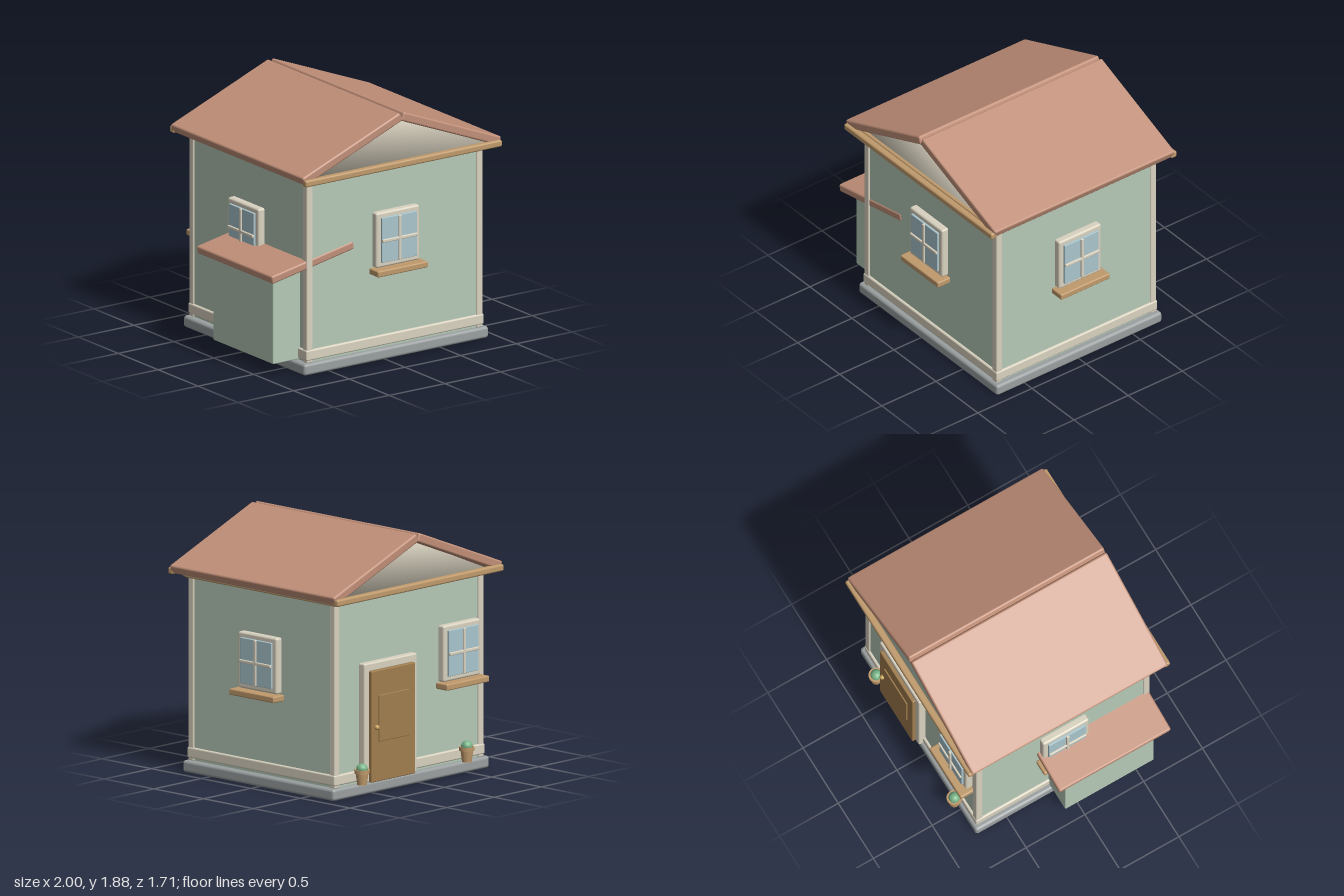
import * as THREE from 'three';
import { RoundedBoxGeometry } from 'three/addons/geometries/RoundedBoxGeometry.js';
import { mergeVertices } from 'three/addons/utils/BufferGeometryUtils.js';

const mat = (color, side = THREE.FrontSide) =>
  new THREE.MeshStandardMaterial({ color, side });

const sage = mat(0xb5c9b7), cream = mat(0xd9d2c0), tile = mat(0xc08f78);
const wood = mat(0xc09a6c), stone = mat(0x9a9f9f), glass = mat(0xa9c5cd);
const doorWood = mat(0xa07d4e), brass = mat(0xc9a35a), leaf = mat(0x78b487);
const gableMat = mat(0xd9d2c0, THREE.DoubleSide);
const CX = 0.0975; // middle of the house across x

// Rounded box given by its lower and upper limits on each axis
function block(parent, name, material, [x0, x1], [y0, y1], [z0, z1], r = 0.012) {
  const w = x1 - x0, h = y1 - y0, d = z1 - z0;
  const radius = Math.min(r, w / 2.01, h / 2.01, d / 2.01);
  const mesh = new THREE.Mesh(new RoundedBoxGeometry(w, h, d, 3, radius), material);
  mesh.position.set((x0 + x1) / 2, (y0 + y1) / 2, (z0 + z1) / 2);
  mesh.name = name;
  parent.add(mesh);
  return mesh;
}

const around = (half, c = 0) => [c - half, c + half];

// Window facing +z, wall surface at z = 0
function makeWindow(name) {
  const g = new THREE.Group();
  g.name = name;
  block(g, 'windowFrame', cream, around(0.195), [0.715, 1.135], [-0.01, 0.055], 0.016);
  block(g, 'windowGlass', glass, around(0.157), [0.755, 1.097], [0.04, 0.072], 0.004);
  block(g, 'verticalBar', cream, around(0.012), [0.755, 1.097], [0.06, 0.085], 0.006);
  block(g, 'crossBar', cream, around(0.157), [0.911, 0.935], [0.06, 0.085], 0.006);
  block(g, 'windowSill', wood, around(0.225), [0.665, 0.712], [0, 0.118], 0.01);
  return g;
}

// Door facing +z, wall surface at z = 0
function makeDoor() {
  const g = new THREE.Group();
  g.name = 'door';
  for (const s of [-1, 1])
    block(g, 'doorJamb', cream, around(0.03, s * 0.25), [0.09, 0.978], [-0.01, 0.055]);
  block(g, 'doorLintel', cream, around(0.28), [0.915, 0.98], [-0.01, 0.055]);
  block(g, 'doorLeaf', doorWood, around(0.232), [0.092, 0.922], [0.01, 0.082], 0.008);
  block(g, 'doorPanel', doorWood, around(0.16), [0.39, 0.737], [0.07, 0.092], 0.005);
  const knob = new THREE.Mesh(new THREE.SphereGeometry(0.019, 16, 12), brass);
  knob.name = 'doorKnob';
  knob.position.set(-0.185, 0.5, 0.09);
  g.add(knob);
  return g;
}

// Flower pot with a small cactus, standing on y = 0
function makePot() {
  const g = new THREE.Group();
  g.name = 'pottedCactus';
  const profile = [[0, 0], [0.036, 0], [0.047, 0.085], [0.056, 0.085], [0.057, 0.112],
    [0.046, 0.112], [0.044, 0.1], [0, 0.1]].map(([x, y]) => new THREE.Vector2(x, y));
  const potGeo = new THREE.LatheGeometry(profile, 24).toNonIndexed();
  potGeo.computeVertexNormals();
  const pot = new THREE.Mesh(potGeo, wood);
  pot.name = 'pot';
  const cactus = new THREE.Mesh(new THREE.SphereGeometry(0.042, 20, 14), leaf);
  cactus.name = 'cactus';
  cactus.scale.y = 0.95;
  cactus.position.y = 0.118;
  g.add(pot, cactus);
  return g;
}

function place(parent, object, x, y, z, turn = 0) {
  object.position.set(x, y, z);
  object.rotation.y = turn;
  parent.add(object);
}

export function createModel() {
  const house = new THREE.Group();
  house.name = 'house';

  // Base, walls and skirting
  block(house, 'plinth', stone, around(0.828, CX), [0, 0.088], around(0.763), 0.022);
  block(house, 'walls', sage, around(0.78, CX), [0.08, 1.475], around(0.725), 0.004);
  block(house, 'skirting', cream, around(0.797, CX), [0.105, 0.185], around(0.744), 0.012);
  for (const sx of [-1, 1]) for (const sz of [-1, 1])
    block(house, 'cornerPost', cream, around(0.0275, CX + sx * 0.763), [0.085, 1.46],
      around(0.0275, sz * 0.7115), 0.01);

  // Moulding at the top of the walls and boards below the gables
  block(house, 'wallMoulding', wood, around(0.812, CX), [1.45, 1.478], around(0.763), 0.012);
  for (const s of [-1, 1])
    block(house, 'gableBoard', wood, around(0.882, CX), [1.473, 1.524], around(0.026, s * 0.831), 0.014);

  // Gable prism with softly blended normals
  const triangle = new THREE.Shape([[-0.85, 1.475], [0.85, 1.475], [0, 1.83]]
    .map(([x, y]) => new THREE.Vector2(x, y)));
  let prism = new THREE.ExtrudeGeometry(triangle, { depth: 1.48, bevelEnabled: false });
  prism.deleteAttribute('normal');
  prism.deleteAttribute('uv');
  prism = mergeVertices(prism);
  prism.computeVertexNormals();
  const gable = new THREE.Mesh(prism, gableMat);
  gable.name = 'gables';
  gable.position.set(CX, 0, -0.74);
  house.add(gable);

  // Two roof slopes
  for (const s of [-1, 1]) {
    const slope = block(house, 'roofSlope', tile, around(0.472), around(0.034), around(0.831), 0.015);
    slope.position.set(CX + s * 0.444, 1.681, 0);
    slope.rotation.z = -s * 0.375;
  }

  // Lean-to shed on the right wall
  block(house, 'shedWalls', sage, [-0.922, -0.66], [0.095, 0.8], [-0.12, 0.635], 0.008);
  const shedRoof = block(house, 'shedRoof', tile, around(0.374), around(0.031), around(0.474), 0.015);
  shedRoof.position.set(-0.632, 0.843, 0.258);
  shedRoof.rotation.z = 0.19;

  // Openings on each side
  place(house, makeWindow('frontWindow'), CX, 0, 0.725);
  place(house, makeWindow('leftWindow'), CX + 0.78, 0, 0, Math.PI / 2);
  place(house, makeWindow('rightWindow'), CX - 0.78, 0, 0, -Math.PI / 2);
  place(house, makeWindow('backWindow'), -0.42, 0, -0.725, Math.PI);
  place(house, makeDoor(), 0.335, 0, -0.725, Math.PI);

  // Pots beside the door
  for (const x of [0.65, -0.46]) place(house, makePot(), x, 0.09, -0.788);

  return house;
}
